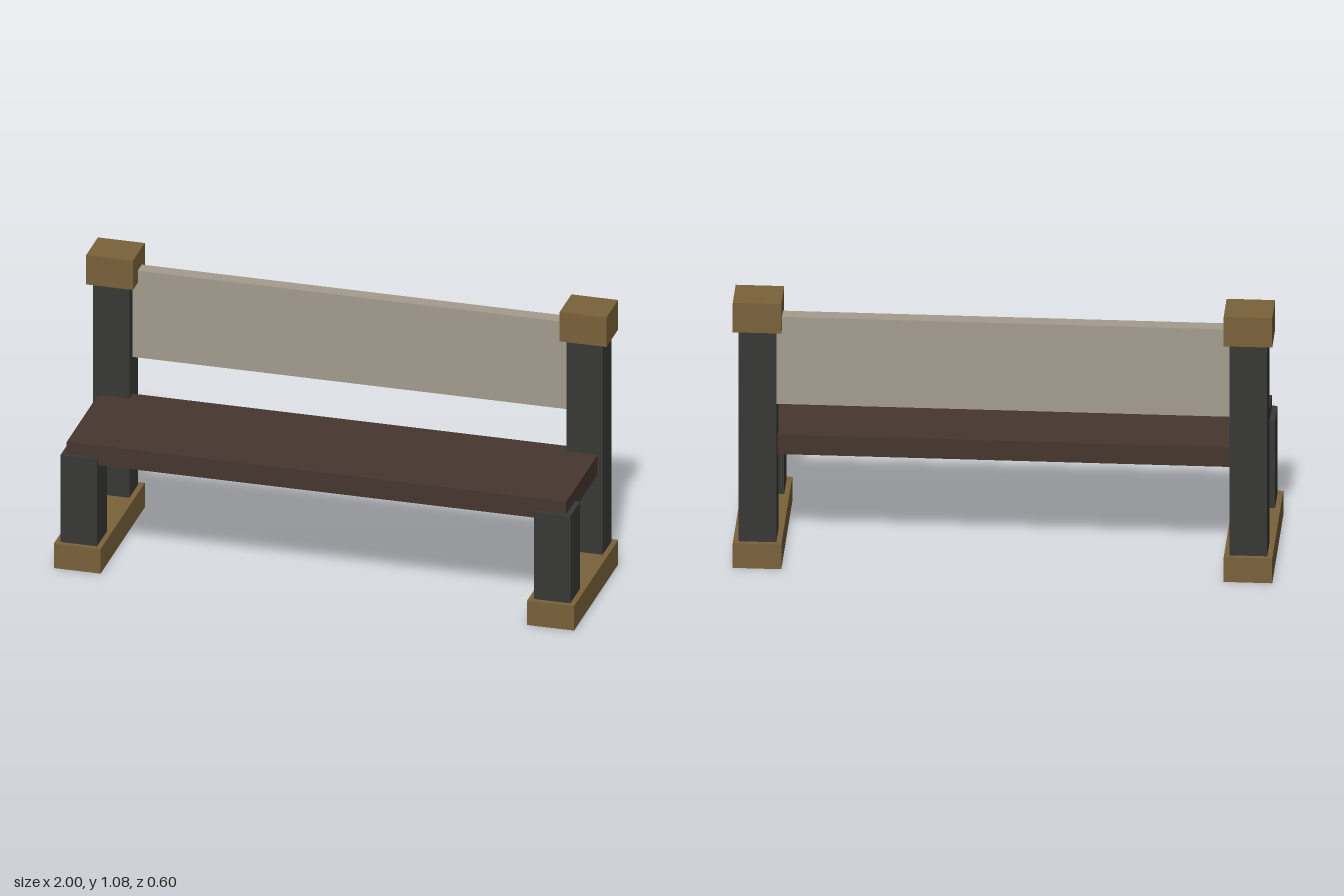
import * as THREE from 'three';

const wood = new THREE.MeshStandardMaterial({ color: 0x7a623a });
const iron = new THREE.MeshStandardMaterial({ color: 0x383836 });
const seatWood = new THREE.MeshStandardMaterial({ color: 0x46362e });
const pale = new THREE.MeshStandardMaterial({ color: 0xa49c8e });

// Box given by its [min, max] extents along each axis
function block(name, material, [x0, x1], [y0, y1], [z0, z1]) {
  const mesh = new THREE.Mesh(new THREE.BoxGeometry(x1 - x0, y1 - y0, z1 - z0), material);
  mesh.position.set((x0 + x1) / 2, (y0 + y1) / 2, (z0 + z1) / 2);
  mesh.name = name;
  return mesh;
}

export function createModel() {
  const bench = new THREE.Group();
  bench.name = 'bench';

  // End frames: foot beam, short front leg, tall rear post with cap
  for (const [side, s] of [['left', 1], ['right', -1]]) {
    const wide = s > 0 ? [0.82, 1] : [-1, -0.82];
    const narrow = s > 0 ? [0.84, 0.98] : [-0.98, -0.84];
    const frame = new THREE.Group();
    frame.name = side + 'Frame';
    frame.add(
      block('footBeam', wood, wide, [0, 0.1], [-0.3, 0.3]),
      block('frontLeg', iron, narrow, [0.01, 0.455], [0.145, 0.28]),
      block('rearPost', iron, narrow, [0.01, 0.97], [-0.28, -0.16]),
      block('postCap', wood, wide, [0.96, 1.08], [-0.3, -0.14]),
    );
    bench.add(frame);
  }

  // Seat plank and backrest, let into the posts
  bench.add(
    block('seat', seatWood, [-0.96, 0.96], [0.425, 0.505], [-0.205, 0.265]),
    block('backrest', pale, [-0.88, 0.88], [0.655, 1.01], [-0.26, -0.205]),
  );
  return bench;
}
